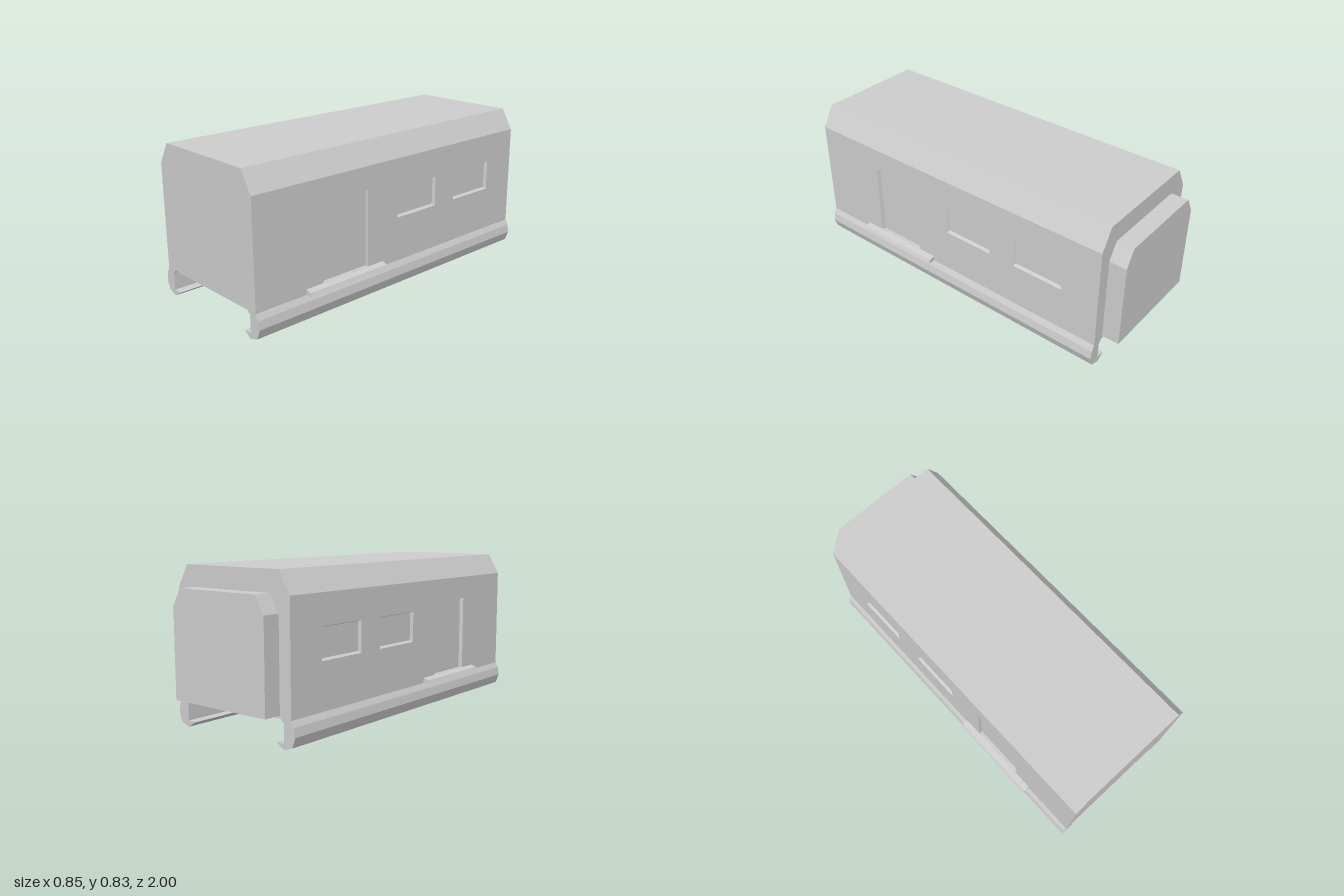
import * as THREE from 'three';

const BACK = -0.905, FRONT = 1;      // body ends along z
const WALL_X = 0.38, WALL_T = 0.02;  // side wall position and thickness
const WALL_Y0 = 0.145, WALL_Y1 = 0.715;

const material = new THREE.MeshStandardMaterial({ color: 0xcccccc, flatShading: true });

function mesh(geometry, name) {
  const m = new THREE.Mesh(geometry, material);
  m.name = name;
  return m;
}

function shapeOf(points) {
  return new THREE.Shape(points.map(([x, y]) => new THREE.Vector2(x, y)));
}

// Extrude an x-y outline from z0 to z1
function prism(points, z0, z1) {
  const g = new THREE.ExtrudeGeometry(shapeOf(points), { depth: z1 - z0, bevelEnabled: false });
  return g.translate(0, 0, z0);
}

// Complete a right-half outline (bottom to top) with its mirror image
function mirrored(half) {
  return [...half, ...half.map(([x, y]) => [-x, y]).reverse()];
}

function rect([u0, u1, v0, v1]) {
  return [[u0, v0], [u1, v0], [u1, v1], [u0, v1]];
}

// Lining of a recess: four reveals joining an outer and an inner rectangle, plus the back panel
function recess(outer, inner, depth) {
  const a = rect(outer).map(([x, y]) => [x, y, 0]);
  const b = rect(inner).map(([x, y]) => [x, y, -depth]);
  const pos = [];
  const quad = (p, q, r, s) => pos.push(...p, ...q, ...r, ...p, ...r, ...s);
  for (let i = 0; i < 4; i++) {
    const j = (i + 1) % 4;
    quad(a[i], a[j], b[j], b[i]);
  }
  quad(...b);
  const g = new THREE.BufferGeometry();
  g.setAttribute('position', new THREE.Float32BufferAttribute(pos, 3));
  g.computeVertexNormals();
  return g;
}

// One side wall with its door and windows; s = 1 is the +x side, s = -1 the -x side
function createSide(s) {
  const side = new THREE.Group();
  side.name = s > 0 ? 'leftSide' : 'rightSide';
  side.rotation.y = s * Math.PI / 2;
  side.position.x = s * WALL_X;

  // Turn a range of z into the wall's own horizontal range
  const span = (z0, z1, y0, y1) => (s > 0 ? [-z1, -z0, y0, y1] : [z0, z1, y0, y1]);

  const openings = [
    { name: 'door', z: [0.28, 0.585], y: [0.175, 0.59], inset: [0, 0.008, 0, 0], depth: 0.019 },
    { name: 'frontWindow', z: [-0.235, 0.065], y: [0.39, 0.555], inset: [0.01, 0.01, 0.01, 0.005], depth: 0.015 },
    { name: 'rearWindow', z: [-0.69, -0.39], y: [0.39, 0.555], inset: [0.01, 0.01, 0.01, 0.005], depth: 0.015 },
  ];

  const wall = shapeOf(rect(span(BACK, FRONT, WALL_Y0, WALL_Y1)));
  for (const { name, z, y, inset: i, depth } of openings) {
    const outer = span(...z, ...y);
    const inner = span(z[0] + i[0], z[1] - i[1], y[0] + i[2], y[1] - i[3]);
    wall.holes.push(new THREE.Path(rect(outer).reverse().map(([x, v]) => new THREE.Vector2(x, v))));
    side.add(mesh(recess(outer, inner, depth), name));
  }
  const wallGeometry = new THREE.ExtrudeGeometry(wall, { depth: WALL_T, bevelEnabled: false });
  side.add(mesh(wallGeometry.translate(0, 0, -WALL_T), 'sideWall'));
  return side;
}

export function createModel() {
  const model = new THREE.Group();
  model.name = 'railCarriage';

  // Body core with chamfered roof; the side walls fill its shallow side channels
  const inX = WALL_X - WALL_T;
  model.add(mesh(prism(mirrored([
    [0.315, 0.145], [inX, WALL_Y0], [inX, WALL_Y1], [WALL_X, WALL_Y1], [0.313, 0.83],
  ]), BACK, FRONT), 'body'));

  // Hooked skirt, half outline
  const skirt = [
    [0.38, 0.145], [0.315, 0.145], [0.335, 0.127], [0.335, 0.032], [0.286, 0.03],
    [0.333, 0], [0.386, 0.018], [0.405, 0.07], [0.397, 0.115],
  ];
  // Door step, half outline
  const step = [[0.375, 0.145], [0.423, 0.145], [0.413, 0.165], [0.38, 0.174], [0.375, 0.174]];

  for (const s of [1, -1]) {
    const label = s > 0 ? 'left' : 'right';
    const flip = (points) => points.map(([x, y]) => [s * x, y]);
    model.add(createSide(s));
    model.add(mesh(prism(flip(skirt), BACK, FRONT), label + 'Skirt'));
    model.add(mesh(prism(flip(step), 0.173, 0.695), label + 'DoorStep'));
  }

  // Gangway connection at the rear
  model.add(mesh(prism(mirrored([
    [0.31, 0.16], [0.31, 0.63], [0.258, 0.72],
  ]), -1, BACK), 'gangway'));

  return model;
}
